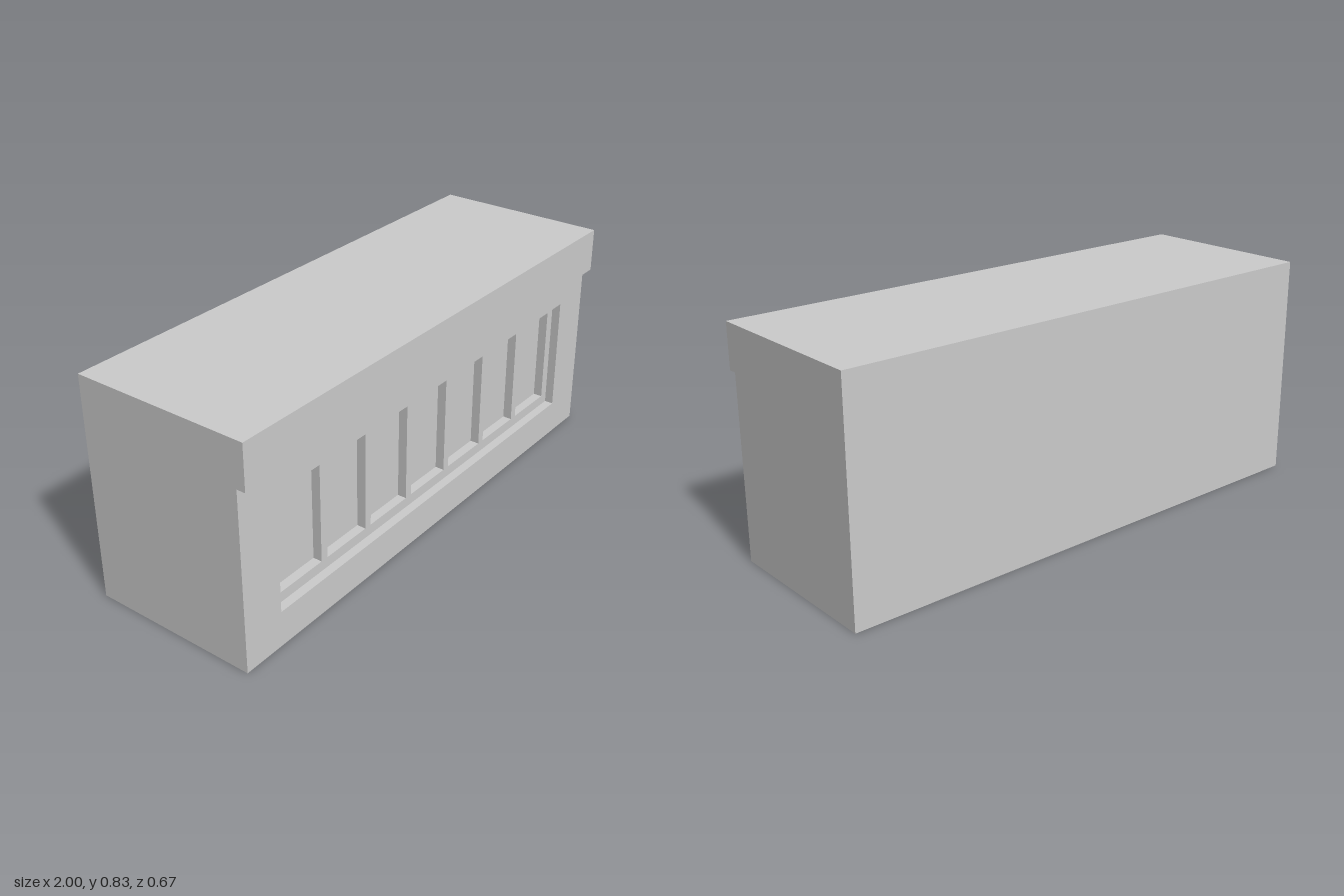
import * as THREE from 'three';

const WIDTH = 2, HEIGHT = 0.833;
const BACK = -0.333, PANE_Z = 0.233, GRID_Z = 0.267, WALL_Z = 0.3, FASCIA_Z = 0.333;
const FASCIA_Y = 0.669;
const RECESS = { x0: -0.836, x1: 0.836, y0: 0.132, y1: 0.571 };
const PANES = { count: 7, width: 0.203, x0: -0.8, x1: 0.8, y0: 0.17, y1: 0.537 };

const material = new THREE.MeshStandardMaterial({ color: 0xcccccc, flatShading: true });

function rectangle(Type, x0, y0, x1, y1) {
  const path = new Type();
  path.moveTo(x0, y0);
  path.lineTo(x1, y0);
  path.lineTo(x1, y1);
  path.lineTo(x0, y1);
  path.closePath();
  return path;
}

// Upright slab between two depths, with optional rectangular openings
function slab(name, x0, y0, x1, y1, z0, z1, openings = []) {
  const shape = rectangle(THREE.Shape, x0, y0, x1, y1);
  for (const o of openings) shape.holes.push(rectangle(THREE.Path, o.x0, o.y0, o.x1, o.y1));
  const geometry = new THREE.ExtrudeGeometry(shape, { depth: z1 - z0, bevelEnabled: false });
  geometry.translate(0, 0, z0);
  const mesh = new THREE.Mesh(geometry, material);
  mesh.name = name;
  return mesh;
}

export function createModel() {
  const group = new THREE.Group();
  group.name = 'shopfront';
  const half = WIDTH / 2;

  // Solid block; its front face forms the window panes
  group.add(slab('body', -half, 0, half, HEIGHT, BACK, PANE_Z));

  // Front wall with one wide opening
  group.add(slab('frontWall', -half, 0, half, HEIGHT, PANE_Z, WALL_Z, [RECESS]));

  // Window frame set back in the opening, with a row of equal panes
  const pitch = (PANES.x1 - PANES.x0 - PANES.width) / (PANES.count - 1);
  const panes = [];
  for (let i = 0; i < PANES.count; i++) {
    const x0 = PANES.x0 + i * pitch;
    panes.push({ x0, x1: x0 + PANES.width, y0: PANES.y0, y1: PANES.y1 });
  }
  group.add(slab('windowFrame', RECESS.x0, RECESS.y0, RECESS.x1, RECESS.y1, PANE_Z, GRID_Z, panes));

  // Projecting band along the top of the front
  group.add(slab('fascia', -half, FASCIA_Y, half, HEIGHT, WALL_Z, FASCIA_Z));

  return group;
}
